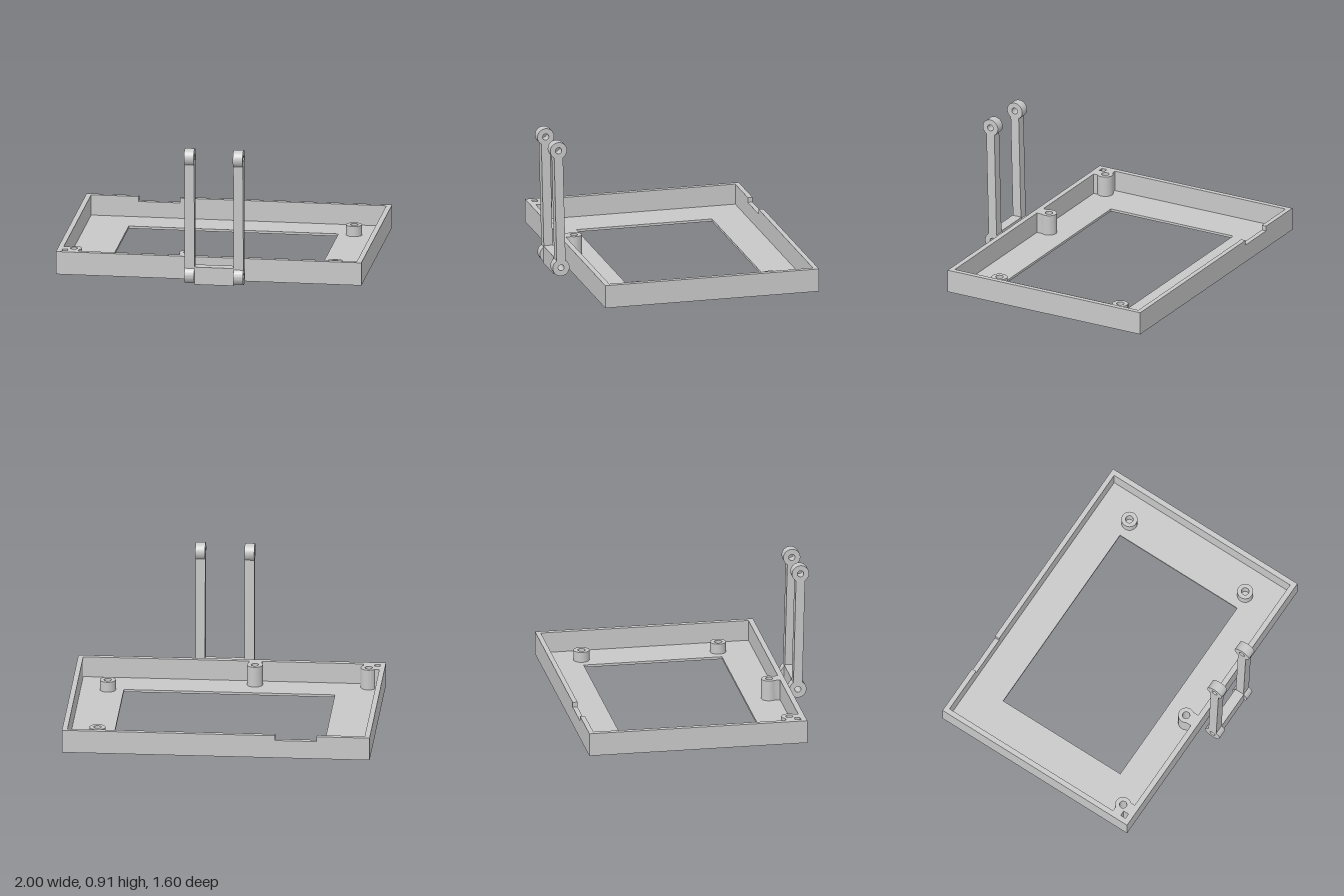
import * as THREE from 'three';
import { toCreasedNormals } from 'three/addons/utils/BufferGeometryUtils.js';

const FLOOR = 0.016, NOTCH_Y = 0.119, TOP = 0.152;
const rad = THREE.MathUtils.degToRad;

// Points along an arc, angles in degrees
function arc(cx, cy, r, from, to, n = 24) {
  return Array.from({ length: n + 1 }, (_, i) => {
    const a = rad(from + ((to - from) * i) / n);
    return [cx + r * Math.cos(a), cy + r * Math.sin(a)];
  });
}
const circle = (cx, cy, r) => arc(cx, cy, r, 0, 360, 32).slice(0, -1);
const rect = (x0, y0, x1, y1) => [[x0, y0], [x1, y0], [x1, y1], [x0, y1]];

// Points as vectors, wound anticlockwise (or clockwise for a hole)
function loop(pts, hole = false) {
  const v = pts.map(([a, b]) => new THREE.Vector2(a, b));
  return THREE.ShapeUtils.isClockWise(v) === hole ? v : v.reverse();
}

function extrude(outline, holes, depth) {
  const shape = new THREE.Shape(loop(outline));
  holes.forEach((h) => shape.holes.push(new THREE.Path(loop(h, true))));
  return new THREE.ExtrudeGeometry(shape, { depth, bevelEnabled: false });
}

// Plan outline in (x, z), raised from y0 to y1
function slab(outline, holes, y0, y1) {
  const flip = (pts) => pts.map(([x, z]) => [x, -z]);
  const g = extrude(flip(outline), holes.map(flip), y1 - y0);
  return toCreasedNormals(g.rotateX(-Math.PI / 2).translate(0, y0, 0), rad(30));
}

// Side outline in (z, y), spanning x0 to x1
function sidePiece(outline, holes, x0, x1) {
  const g = extrude(outline, holes, x1 - x0);
  return toCreasedNormals(g.rotateY(-Math.PI / 2).translate(x1, 0, 0), rad(30));
}

export function createModel() {
  const group = new THREE.Group();
  const grey = new THREE.MeshStandardMaterial({ color: 0xc8c8c8 });
  grey.name = 'grey plastic';
  const add = (name, geometry) => {
    const mesh = new THREE.Mesh(geometry, grey);
    mesh.name = name;
    group.add(mesh);
  };

  // Bezel floor with the large window
  const outer = rect(-1, -0.8, 1, 0.635);
  add('bezelFloor', slab(outer, [rect(-0.687, -0.536, 0.685, 0.375)], 0, FLOOR));

  // Inside line of the rim, running round from one side of the rear notch to the other,
  // with two screw posts growing out of the front wall
  const inner = [
    [-0.385, -0.768], [0.966, -0.768], [0.966, 0.6],
    [-0.112, 0.6], ...arc(-0.155, 0.535, 0.052, 34, -214), [-0.198, 0.6],
    [-0.858, 0.6], ...arc(-0.895, 0.535, 0.052, 43, -142), [-0.966, 0.503],
    [-0.966, -0.768], [-0.655, -0.768],
  ];
  const openRing = [
    ...inner,
    [-0.655, -0.8], [-1, -0.8], [-1, 0.635], [1, 0.635], [1, -0.8], [-0.385, -0.8],
  ];
  const sockets = [
    circle(-0.155, 0.535, 0.024),
    circle(-0.895, 0.535, 0.024),
    rect(-0.966, 0.563, -0.93, 0.6),
  ];
  add('rimLower', slab(outer, [inner, ...sockets], FLOOR, NOTCH_Y));
  add('rimUpper', slab(openRing, sockets, NOTCH_Y, TOP));

  // Short screw posts on the left side
  for (const z of [-0.532, 0.368]) {
    add('shortPost', slab(circle(0.789, z, 0.052), [circle(0.789, z, 0.025)], FLOOR, 0.084));
  }

  // Pair of slightly leaning arms with an eye at each end
  const low = [0.728, 0.059], high = [0.745, 0.853], R = 0.056;
  const armOutline = [
    ...arc(...low, R, 122, 418, 40),
    ...arc(...high, R, -58, 238, 40),
  ];
  const eyes = [circle(...low, 0.02), circle(...high, 0.021)];
  for (const x of [-0.139, 0.181]) add('arm', sidePiece(armOutline, eyes, x, x + 0.064));

  // Bar joining the arm feet, bored through in line with the lower eyes
  add('crossBar', sidePiece(rect(0.694, 0, 0.761, 0.117), [circle(...low, 0.02)], -0.075, 0.181));
  return group;
}
